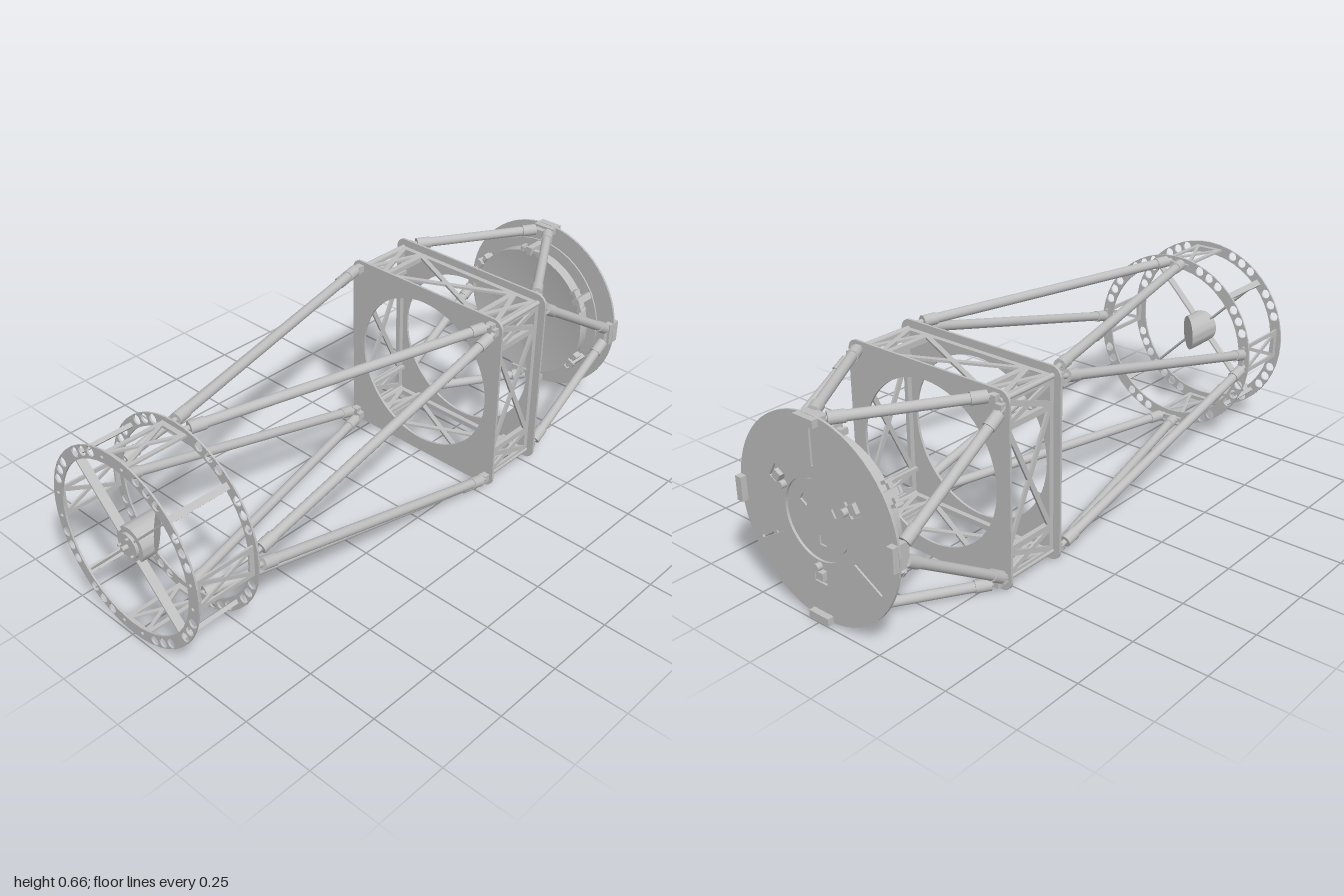
import * as THREE from 'three';
import { toCreasedNormals } from 'three/addons/utils/BufferGeometryUtils.js';

const metal = new THREE.MeshStandardMaterial({ color: 0xbfbfbf });
metal.name = 'grey metal';

function add(parent, name, geometry, x = 0, y = 0, z = 0) {
  const mesh = new THREE.Mesh(geometry, metal);
  mesh.name = name;
  mesh.position.set(x, y, z);
  parent.add(mesh);
  return mesh;
}

const box = (w, h, d) => new THREE.BoxGeometry(w, h, d);
const rod = (r, len, seg = 20) => new THREE.CylinderGeometry(r, r, len, seg).rotateX(Math.PI / 2);
const rad = (deg) => (deg * Math.PI) / 180;

function circle(r, x = 0, y = 0) {
  const p = new THREE.Path();
  p.absarc(x, y, r, 0, Math.PI * 2, true);
  return p;
}

function disc(r) {
  const s = new THREE.Shape();
  s.absarc(0, 0, r, 0, Math.PI * 2, false);
  return s;
}

const polygon = (pts) => new THREE.Path(pts.map(([x, y]) => new THREE.Vector2(x, y)));

// Rectangle turned to an angle, its middle at a given radius
function radialSlot(angle, r0, r1, half) {
  const c = Math.cos(angle), s = Math.sin(angle);
  return polygon([[r0, -half], [r0, half], [r1, half], [r1, -half]].map(([a, b]) => [a * c - b * s, a * s + b * c]));
}

const plate = (shape, depth, curveSegments = 32) =>
  new THREE.ExtrudeGeometry(shape, { depth, bevelEnabled: false, curveSegments });

function roundedSquare(h, r) {
  const s = new THREE.Shape();
  s.absarc(h - r, h - r, r, 0, Math.PI / 2);
  s.absarc(r - h, h - r, r, Math.PI / 2, Math.PI);
  s.absarc(r - h, r - h, r, Math.PI, Math.PI * 1.5);
  s.absarc(h - r, r - h, r, Math.PI * 1.5, Math.PI * 2);
  return s;
}

// Rectangular panel lying in xz, with windows crossed by diagonal bars
function latticePanel(x0, x1, z0, z1, windows, bar, depth) {
  const s = new THREE.Shape([[x0, z0], [x1, z0], [x1, z1], [x0, z1]].map(([x, z]) => new THREE.Vector2(x, z)));
  for (const [a, b, c, d] of windows) {
    const w = b - a, h = d - c, diag = Math.hypot(w, h);
    const mx = (a + b) / 2, mz = (c + d) / 2;
    const ox = (bar / 2) * diag / h, oz = (bar / 2) * diag / w;
    s.holes.push(
      polygon([[a, c + oz], [a, d - oz], [mx - ox, mz]]),
      polygon([[b, c + oz], [b, d - oz], [mx + ox, mz]]),
      polygon([[a + ox, c], [b - ox, c], [mx, mz - oz]]),
      polygon([[a + ox, d], [b - ox, d], [mx, mz + oz]]));
  }
  return plate(s, depth).rotateX(Math.PI / 2);
}

// Truss tube with thicker end collars and thin end pins
function strut(parent, name, from, to) {
  const a = new THREE.Vector3(...from), b = new THREE.Vector3(...to);
  const len = a.distanceTo(b);
  const g = new THREE.Group();
  g.name = name;
  g.position.copy(a).lerp(b, 0.5);
  g.quaternion.setFromUnitVectors(new THREE.Vector3(0, 0, 1), b.clone().sub(a).normalize());
  add(g, 'tube', rod(0.0165, len - 0.06));
  for (const e of [-1, 1]) {
    add(g, 'collar', rod(0.02, 0.05), 0, 0, e * (len / 2 - 0.045));
    add(g, 'endPin', rod(0.009, 0.035, 12), 0, 0, e * (len / 2 - 0.012));
  }
  parent.add(g);
}

export function createModel() {
  const model = new THREE.Group();
  model.name = 'trussTelescope';
  const tube = new THREE.Group();
  tube.name = 'opticalTube';
  tube.position.y = 0.327;
  model.add(tube);

  // Front cage rings with lightening holes
  const ring = disc(0.327);
  ring.holes.push(circle(0.285));
  for (let q = 0; q < 4; q++) {
    for (const d of [19, 27.3, 35.6, 54.4, 62.7, 71]) {
      const a = rad(q * 90 + d);
      ring.holes.push(circle(0.0165, 0.308 * Math.cos(a), 0.308 * Math.sin(a)));
    }
  }
  const ringGeometry = plate(ring, 0.006, 24);
  add(tube, 'frontRing', ringGeometry, 0, 0, 0.988);
  add(tube, 'rearRing', ringGeometry, 0, 0, 0.767);

  // Square end plates of the middle box
  const square = roundedSquare(0.327, 0.035);
  square.holes.push(circle(0.275));
  const squareGeometry = plate(square, 0.008);
  add(tube, 'boxFrontPlate', squareGeometry, 0, 0, -0.305);
  add(tube, 'boxBackPlate', squareGeometry, 0, 0, -0.533);

  // Four identical sides around the axis
  const cagePanel = latticePanel(-0.054, 0.054, 0.755, 0.988, [[-0.04, 0.04, 0.79, 0.97]], 0.012, 0.007);
  const boxPanel = latticePanel(-0.297, 0.297, -0.526, -0.304,
    [[-0.192, 0.192, -0.507, -0.323], [-0.28, -0.212, -0.507, -0.323], [0.212, 0.28, -0.507, -0.323]], 0.017, 0.008);
  for (let i = 0; i < 4; i++) {
    const side = new THREE.Group();
    side.name = 'side' + (i + 1);
    side.rotation.z = i * Math.PI / 2;
    tube.add(side);
    add(side, 'cagePanel', cagePanel, 0, 0.309, 0);
    add(side, 'boxPanel', boxPanel, 0, 0.301, 0);
    for (const s of [-1, 1]) {
      strut(side, 'frontStrut', [s * 0.287, 0.308, -0.275], [s * 0.025, 0.308, 0.765]);
      strut(side, 'backStrut', [s * 0.276, 0.308, -0.54], [s * 0.018, 0.308, -0.955]);
      add(side, 'panelRib', box(0.012, 0.02, 0.22), s * 0.202, 0.29, -0.415);
      add(side, 'strutBracket', box(0.026, 0.024, 0.026), s * 0.289, 0.303, -0.287);
      add(side, 'strutBracket', box(0.026, 0.024, 0.026), s * 0.28, 0.303, -0.542);
      add(side, 'ringBolt', rod(0.006, 0.012, 12), s * 0.043, 0.3, 0.994);
    }
    add(side, 'cornerBolt', rod(0.009, 0.25, 12), 0.296, 0.296, -0.415);
    add(side, 'rimTab', box(0.08, 0.024, 0.05), 0, 0.313, -0.975);
    add(side, 'strutAnchor', box(0.05, 0.026, 0.03), 0, 0.303, -0.945);

    // Spider vane and its post on the diagonal
    const spider = new THREE.Group();
    spider.name = 'spiderArm';
    spider.rotation.z = Math.PI / 4;
    side.add(spider);
    add(spider, 'post', box(0.022, 0.014, 0.22), 0, 0.303, 0.88);
    add(spider, 'vane', box(0.006, 0.25, 0.03), 0, 0.175, 0.965);
  }

  // Secondary mirror holder, cut off at 45 degrees
  const holder = rod(0.06, 0.1, 48);
  const p = holder.attributes.position;
  for (let i = 0; i < p.count; i++) if (p.getZ(i) < 0) p.setZ(i, p.getZ(i) + p.getX(i));
  add(tube, 'secondaryMirror', toCreasedNormals(holder, 0.5), 0, 0, 0.92);
  add(tube, 'secondaryCap', rod(0.042, 0.012, 40), 0, 0, 0.974);
  add(tube, 'centreBolt', rod(0.008, 0.04, 16), 0, 0, 0.98);
  for (const d of [75, 195, 315]) {
    add(tube, 'adjustBolt', rod(0.0045, 0.016, 12), 0.033 * Math.cos(rad(d)), 0.033 * Math.sin(rad(d)), 0.982);
  }

  // Primary mirror with a slightly hollow front
  const profile = [[0, -0.925], [0.243, -0.925], [0.243, -0.885], [0.2, -0.89], [0.13, -0.895], [0.06, -0.898], [0, -0.899]];
  const mirror = new THREE.LatheGeometry(profile.map(([r, z]) => new THREE.Vector2(r, z)), 64).rotateX(Math.PI / 2);
  add(tube, 'primaryMirror', toCreasedNormals(mirror, 0.5));

  // Mirror cell: support ring and slotted back plate
  const support = disc(0.27);
  support.holes.push(circle(0.2));
  add(tube, 'supportRing', plate(support, 0.006), 0, 0, -0.95);
  const back = disc(0.327);
  back.holes.push(circle(0.13));
  for (const d of [30, 150, 270]) back.holes.push(radialSlot(rad(d), 0.155, 0.205, 0.026));
  for (const d of [90, 210, 330]) back.holes.push(radialSlot(rad(d), 0.17, 0.29, 0.004));
  add(tube, 'backPlate', plate(back, 0.008), 0, 0, -0.979);
  const hub = disc(0.118);
  for (const d of [30, 150, 270]) hub.holes.push(radialSlot(rad(d), 0.06, 0.09, 0.014));
  add(tube, 'cellHub', plate(hub, 0.006), 0, 0, -0.962);

  // Mirror clips on the rim and adjusters on the back
  for (let i = 0; i < 6; i++) {
    const clip = new THREE.Group();
    clip.name = 'mirrorClip';
    clip.rotation.z = i * Math.PI / 3;
    tube.add(clip);
    add(clip, 'clipPost', box(0.024, 0.018, 0.085), 0, 0.258, -0.912);
    add(clip, 'clipFinger', box(0.02, 0.03, 0.01), 0, 0.255, -0.874);
    add(clip, 'clipBar', box(0.07, 0.012, 0.016), 0, 0.251, -0.888);
    for (const s of [-1, 1]) add(clip, 'clipPad', box(0.01, 0.02, 0.03), s * 0.035, 0.251, -0.89);
    if (i % 2 === 1) {
      add(clip, 'adjusterBlock', box(0.03, 0.026, 0.04), 0, 0.18, -0.965);
      add(clip, 'adjusterKnob', rod(0.012, 0.03, 20), 0, 0.147, -0.982);
    }
  }
  return model;
}
